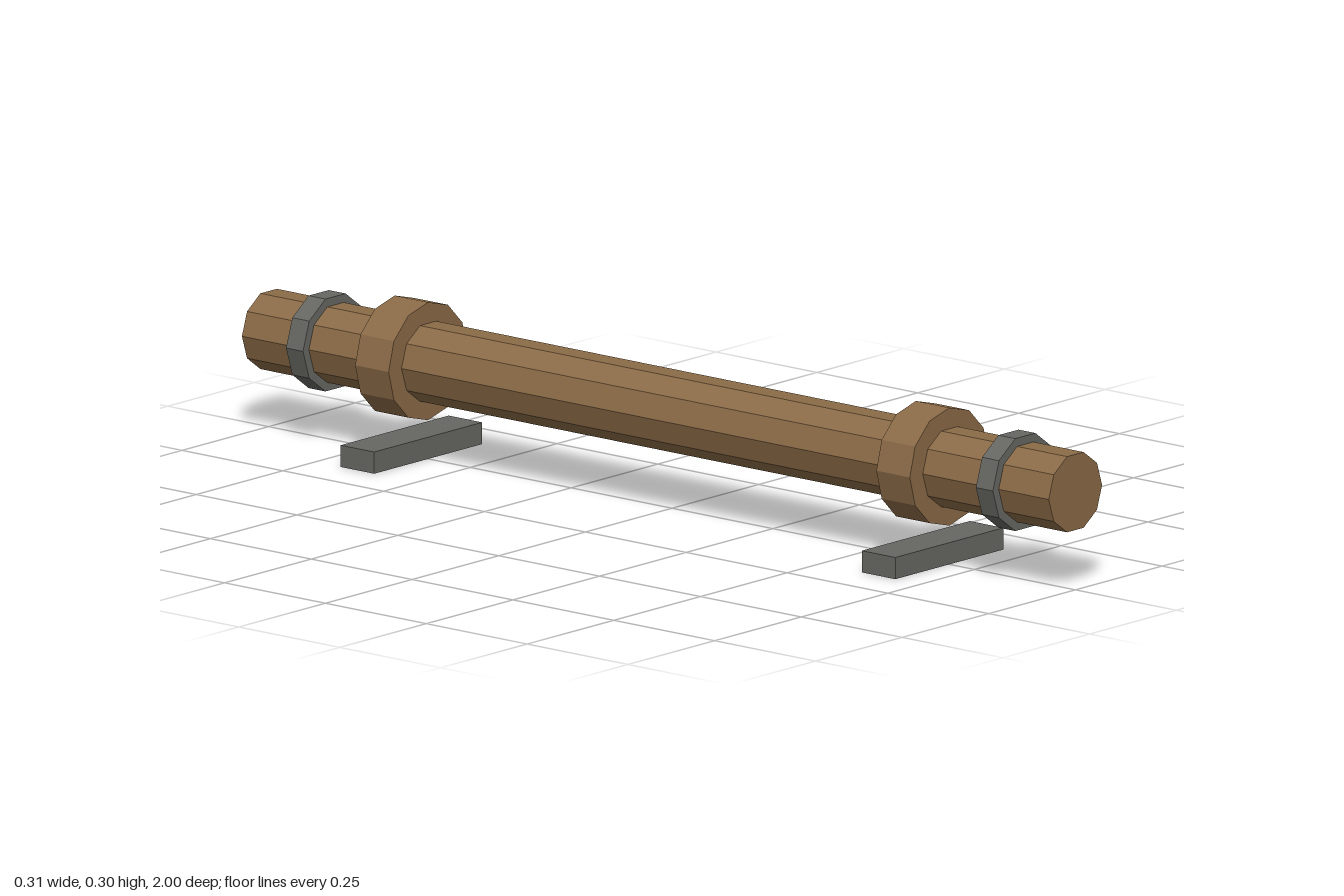
import * as THREE from 'three';

export function createModel() {
  const model = new THREE.Group();
  const wood = new THREE.MeshStandardMaterial({ color: 0x8b6b47 });
  const iron = new THREE.MeshStandardMaterial({ color: 0x666762 });
  wood.name = 'wood';
  iron.name = 'iron';
  wood.flatShading = true;
  iron.flatShading = true;

  const axisY = 0.189;

  // Faceted drum lying along z, with a corner pointing to each side
  function drum(name, material, radius, length, sides, z) {
    const geometry = new THREE.CylinderGeometry(radius, radius, length, sides);
    geometry.rotateY(Math.PI / 2).rotateX(Math.PI / 2);
    const mesh = new THREE.Mesh(geometry, material);
    mesh.name = name;
    mesh.position.set(0, axisY, z);
    model.add(mesh);
  }

  // Long axle
  drum('shaft', wood, 0.077, 2, 10, 0);

  // Matching fittings at both ends
  for (const [end, side] of [['front', 1], ['back', -1]]) {
    drum(end + 'Collar', wood, 0.114, 0.083, 12, side * 0.646);
    drum(end + 'Band', iron, 0.094, 0.042, 10, side * 0.855);

    // Flat cross bar below the collar
    const bar = new THREE.Mesh(new THREE.BoxGeometry(0.312, 0.042, 0.083), iron);
    bar.name = end + 'CrossBar';
    bar.position.set(0, 0.021, side * 0.646);
    model.add(bar);
  }

  return model;
}
